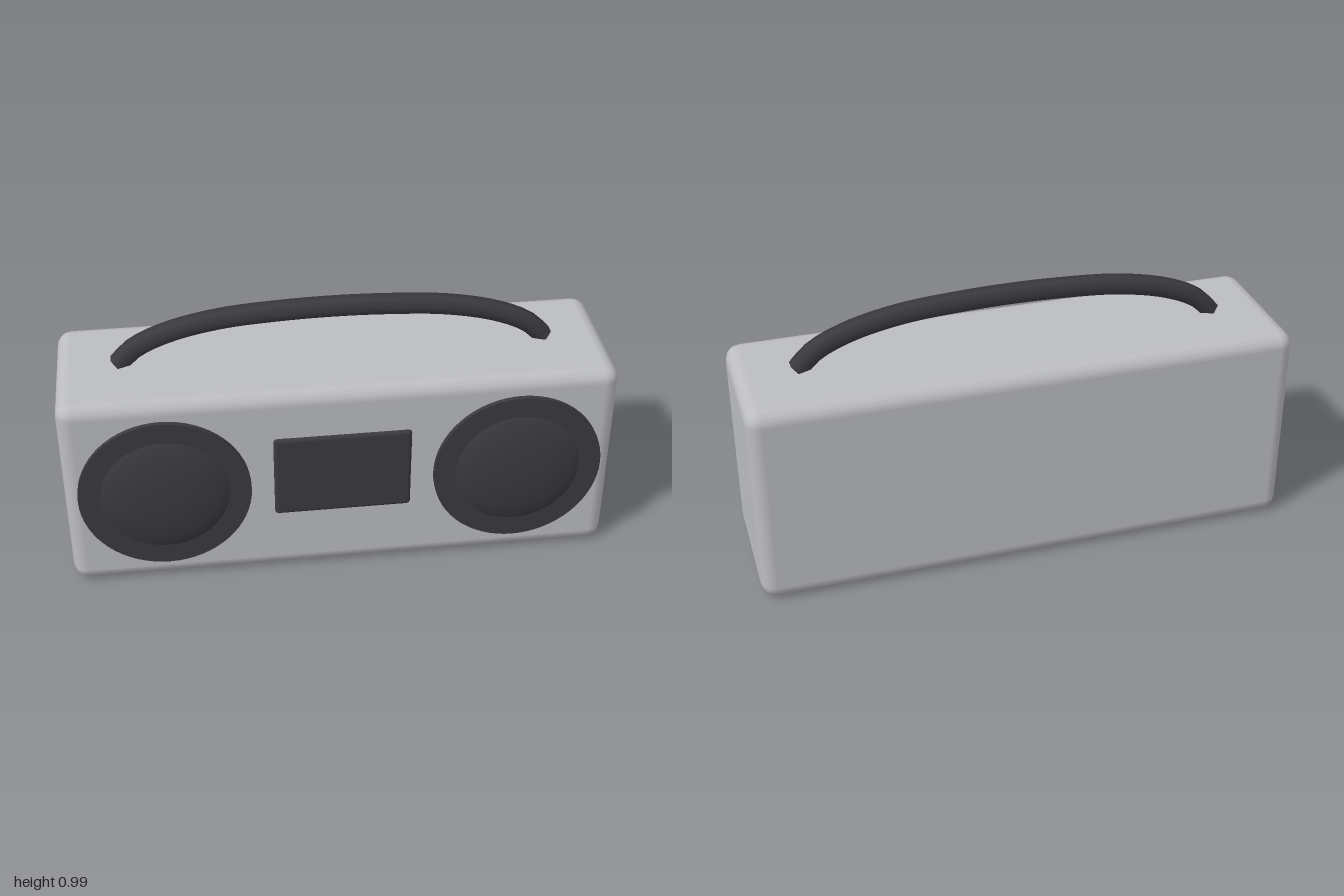
import * as THREE from 'three';
import { RoundedBoxGeometry } from 'three/addons/geometries/RoundedBoxGeometry.js';

export function createModel() {
  const model = new THREE.Group();
  model.name = 'portableSpeaker';
  const shell = new THREE.MeshStandardMaterial({ name: 'light grey shell', color: 0xbcbdc1 });
  const dark = new THREE.MeshStandardMaterial({ name: 'charcoal', color: 0x3b3a40 });

  function add(name, geometry, material, parent = model) {
    const mesh = new THREE.Mesh(geometry, material);
    mesh.name = name;
    parent.add(mesh);
    return mesh;
  }

  // Rounded body
  add('body', new RoundedBoxGeometry(2, 0.777, 0.553, 2, 0.055), shell).position.set(0, 0.3885, -0.0255);

  // Display panel
  add('display', new RoundedBoxGeometry(0.5, 0.334, 0.04, 2, 0.015), dark).position.set(0, 0.425, 0.243);

  // Speakers: flat ring disc with a shallow bulging cone cover
  const dome = [];
  for (let i = 0; i <= 10; i++) {
    const a = (i / 10) * 1.222;
    dome.push(new THREE.Vector2(0.245 * Math.cos(Math.PI / 2 - 1.222 + a), 0.052 * Math.sin(Math.PI / 2 - 1.222 + a)));
  }
  dome[10].x = 0;
  for (const side of [-1, 1]) {
    const speaker = new THREE.Group();
    speaker.name = side > 0 ? 'leftSpeaker' : 'rightSpeaker';
    speaker.position.set(side * 0.642, 0.392, 0.25);
    speaker.rotation.x = Math.PI / 2;
    add('speakerRing', new THREE.CylinderGeometry(0.31, 0.31, 0.036, 64), dark, speaker);
    add('speakerCone', new THREE.LatheGeometry(dome, 48), dark, speaker);
    model.add(speaker);
  }

  // Arched six-sided handle with closed ends
  const half = [[0.777, 0.775], [0.715, 0.837], [0.595, 0.893], [0.41, 0.935], [0.2, 0.952]];
  const z = -0.025;
  const path = new THREE.CatmullRomCurve3([
    ...half.map(([x, y]) => new THREE.Vector3(-x, y, z)),
    new THREE.Vector3(0, 0.957, z),
    ...half.slice().reverse().map(([x, y]) => new THREE.Vector3(x, y, z)),
  ]);
  const handle = new THREE.Group();
  handle.name = 'handle';
  add('handleBar', new THREE.TubeGeometry(path, 40, 0.038, 6), dark, handle);
  for (const t of [0, 1]) {
    const cap = add('handleEnd', new THREE.CircleGeometry(0.038, 6), dark, handle);
    const out = path.getTangentAt(t).multiplyScalar(t ? 1 : -1);
    cap.position.copy(path.getPointAt(t));
    cap.lookAt(cap.position.clone().add(out));
  }
  model.add(handle);
  return model;
}
